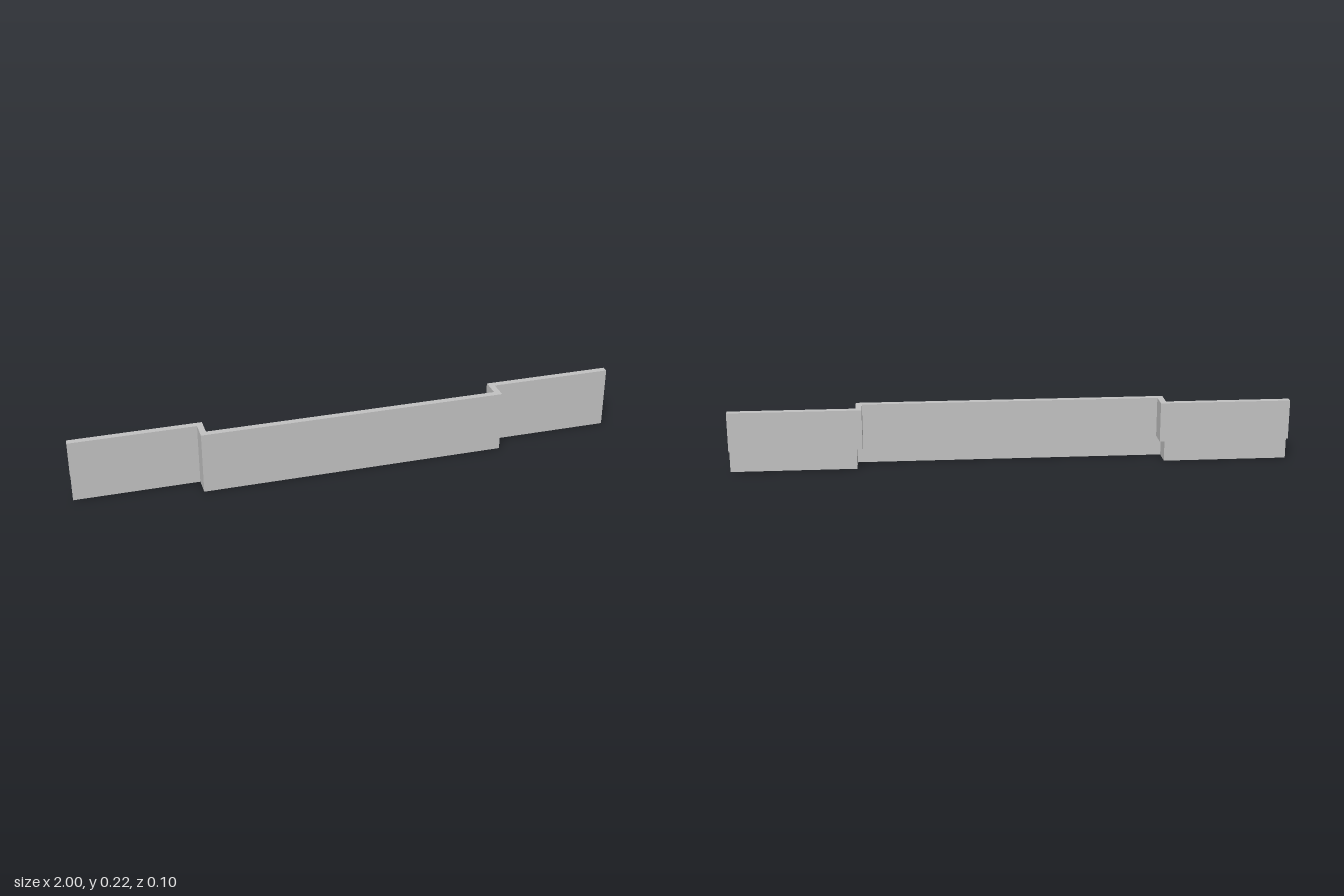
import * as THREE from 'three';

const HEIGHT = 0.224, BACK_BOTTOM = 0.081;

// Stepped plan outlines as [x, z], from -x to +x
const stepped = (step, zSide, zCentre) => [
  [-1, zSide], [-step, zSide], [-step, zCentre],
  [step, zCentre], [step, zSide], [1, zSide],
];
const FRONT = stepped(0.553, -0.024, 0.048);
const BACK = stepped(0.531, -0.048, 0.024);

// Flat-faced ribbon between two rails of equal length
function ribbon(name, lower, upper, material) {
  const positions = [];
  for (let i = 0; i < lower.length - 1; i++) {
    const a = lower[i], b = lower[i + 1], c = upper[i + 1], d = upper[i];
    positions.push(...a, ...b, ...c, ...a, ...c, ...d);
  }
  const geometry = new THREE.BufferGeometry();
  geometry.setAttribute('position', new THREE.Float32BufferAttribute(positions, 3));
  geometry.computeVertexNormals();
  const mesh = new THREE.Mesh(geometry, material);
  mesh.name = name;
  return mesh;
}

export function createModel() {
  const group = new THREE.Group();
  group.name = 'steppedTrim';
  const grey = new THREE.MeshStandardMaterial({ color: 0xc0c0c0 });
  grey.name = 'light grey';
  grey.side = THREE.DoubleSide;

  const at = (path, y) => path.map(([x, z]) => [x, y, z]);
  const reversed = (rail) => [...rail].reverse();

  // Full-height face, folded over the top into a shorter back flange; ends and underside stay open
  group.add(ribbon('frontFace', at(FRONT, 0), at(FRONT, HEIGHT), grey));
  group.add(ribbon('topFold', at(FRONT, HEIGHT), at(BACK, HEIGHT), grey));
  group.add(ribbon('backFlange', reversed(at(BACK, BACK_BOTTOM)), reversed(at(BACK, HEIGHT)), grey));
  return group;
}
